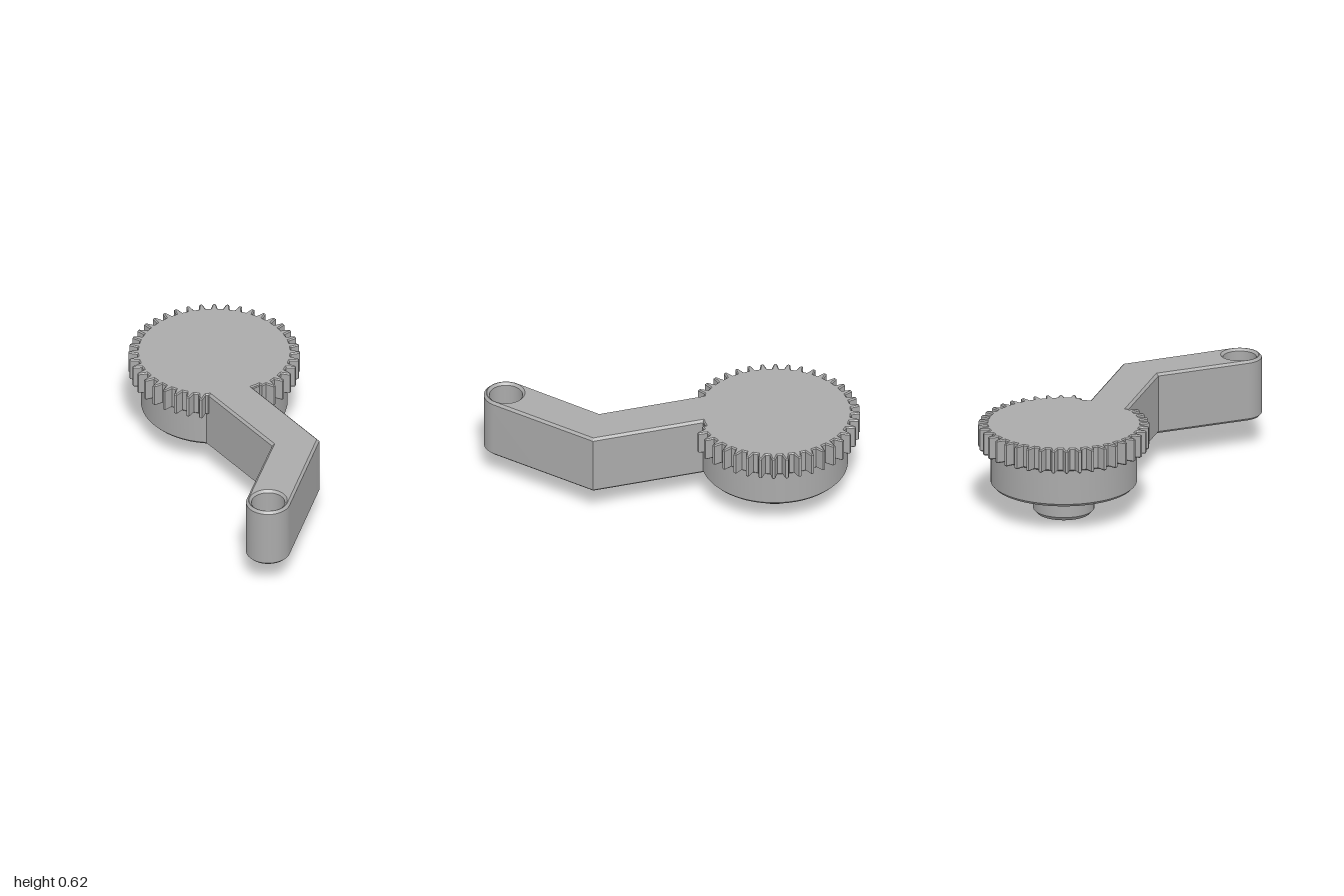
import * as THREE from 'three';
import { toCreasedNormals } from 'three/addons/utils/BufferGeometryUtils.js';

const CX = -0.436, CZ = -0.412, TOP = 0.62;
const rad = THREE.MathUtils.degToRad;

// Extrudes a plan outline (x, z) between two heights, with chamfered rims.
function slab(shape, bottom, top, chamfer) {
  const g = new THREE.ExtrudeGeometry(shape, {
    depth: top - bottom - 2 * chamfer, curveSegments: 32, bevelSegments: 1,
    bevelThickness: chamfer, bevelSize: chamfer, bevelOffset: -chamfer,
  });
  g.rotateX(Math.PI / 2).translate(0, top - chamfer, 0);
  return toCreasedNormals(g, rad(25));
}

function turned(profile) {
  const g = new THREE.LatheGeometry(profile.map(p => new THREE.Vector2(...p)), 72);
  return toCreasedNormals(g, rad(25));
}

// Toothed rim; five teeth are left out where the arm joins.
function gearShape() {
  const pts = [];
  const add = (r, deg) => pts.push(new THREE.Vector2(CX + r * Math.cos(rad(deg)), CZ + r * Math.sin(rad(deg))));
  const tooth = [[0.508, -2.7], [0.53, -2.0], [0.552, -1.4], [0.565, -0.9]];
  add(0.508, 60);
  for (let k = 7; k <= 41; k++) {
    const a = 1.4 + 9 * k;
    tooth.forEach(([r, d]) => add(r, a + d));
    [...tooth].reverse().forEach(([r, d]) => add(r, a - d));
  }
  add(0.508, 377);
  for (let a = 377; a <= 420; a += 4.3) add(0.482, a);
  return new THREE.Shape(pts);
}

// Bent arm with a rounded, bored end.
function armShape() {
  const ex = 0.852, ez = 0.826;
  const s = new THREE.Shape();
  s.moveTo(-0.28, -0.322);
  s.lineTo(0.721, 0.042);
  s.absarc(ex, ez, 0.146, rad(-20), rad(160), false);
  s.lineTo(0.498, 0.268);
  s.lineTo(-0.45, -0.077);
  s.closePath();
  const hole = new THREE.Path();
  hole.absarc(ex, ez, 0.11, 0, Math.PI * 2, true);
  s.holes.push(hole);
  return s;
}

export function createModel() {
  const group = new THREE.Group();
  const grey = new THREE.MeshStandardMaterial({ color: 0xaaaaaa });
  grey.name = 'grey';
  const add = (name, geometry, x = 0, z = 0) => {
    const m = new THREE.Mesh(geometry, grey);
    m.name = name;
    m.position.set(x, 0, z);
    group.add(m);
  };

  add('gear', slab(gearShape(), 0.46, TOP, 0.008));
  add('arm', slab(armShape(), 0.2, TOP, 0.016));
  // Hub below the gear, and the short shaft it stands on
  add('hub', turned([[0, 0.2], [0.465, 0.2], [0.484, 0.22], [0.484, 0.6], [0, 0.6]]), CX, CZ);
  add('shaft', turned([[0, 0], [0.175, 0], [0.202, 0.028], [0.202, 0.22], [0, 0.22]]), CX, CZ);
  return group;
}
